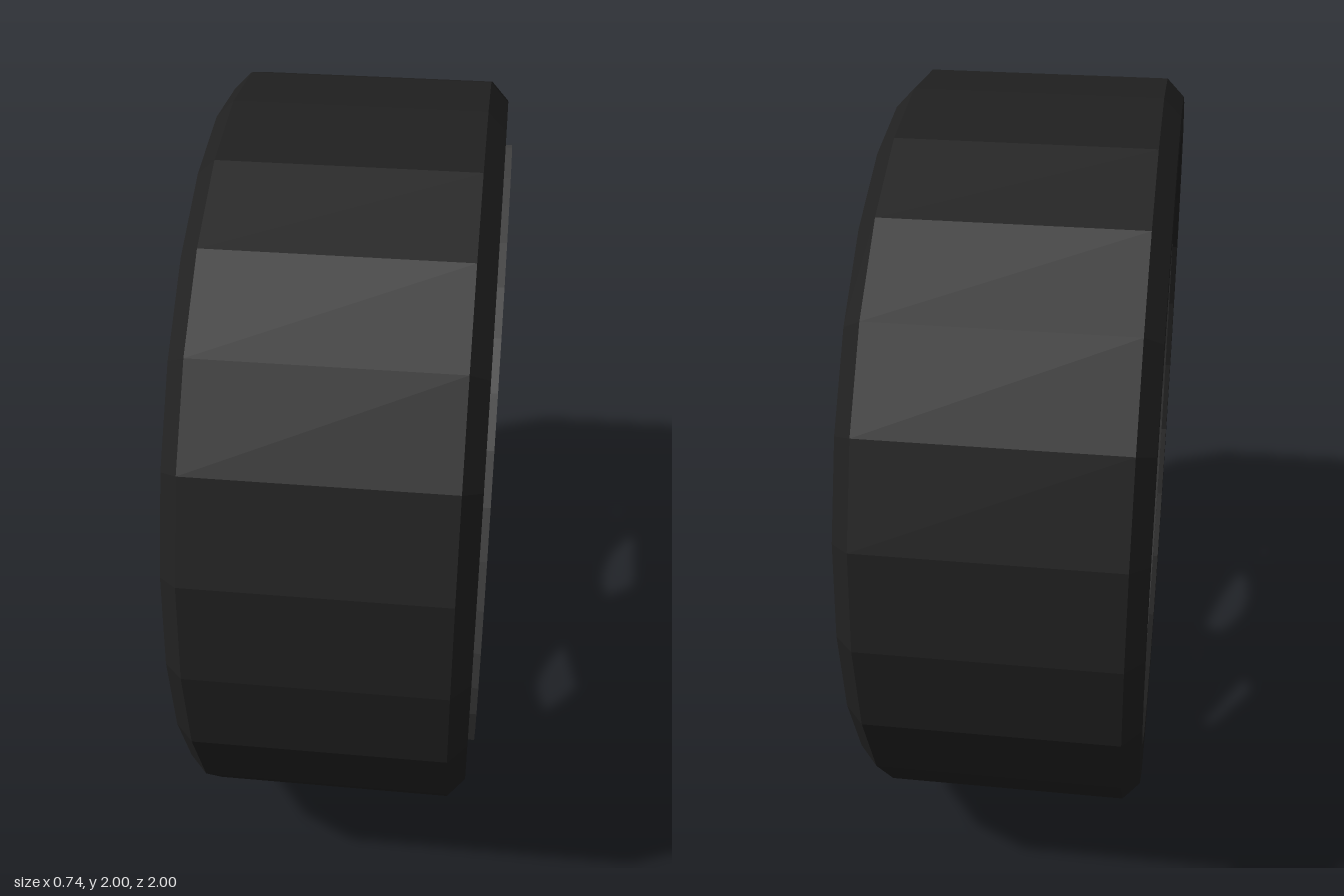
import * as THREE from 'three';

const tyreMat = new THREE.MeshStandardMaterial({ color: 0x202020, flatShading: true });
const rimMat = new THREE.MeshStandardMaterial({ color: 0x424242, flatShading: true });

function addMesh(parent, name, geometry, material) {
  const mesh = new THREE.Mesh(geometry, material);
  mesh.name = name;
  parent.add(mesh);
  return mesh;
}

// Profile of [radius, x] points turned around the x axis
function turned(profile, sides) {
  const pts = profile.map(([r, x]) => new THREE.Vector2(r, x));
  return new THREE.LatheGeometry(pts, sides).rotateZ(-Math.PI / 2);
}

// Half outlines of the openings as [sideways, radial], outer middle to inner middle,
// at the inboard face, the waist and the outboard face of the spokes
const bigWindow = [
  [[0, 0.632], [0.08, 0.627], [0.165, 0.612], [0.19, 0.42], [0.14, 0.33], [0.07, 0.285], [0, 0.27]],
  [[0, 0.572], [0.08, 0.566], [0.15, 0.552], [0.15, 0.385], [0.12, 0.34], [0.06, 0.324], [0, 0.32]],
  [[0, 0.66], [0.08, 0.655], [0.17, 0.638], [0.18, 0.42], [0.14, 0.335], [0.07, 0.3], [0, 0.29]],
];
const forkWindow = [
  [[0, 0.632], [0.08, 0.627], [0.155, 0.612], [0.05, 0.47], [0, 0.42]],
  [[0, 0.572], [0.045, 0.57], [0.085, 0.56], [0.05, 0.515], [0, 0.5]],
  [[0, 0.66], [0.08, 0.655], [0.155, 0.64], [0.05, 0.48], [0, 0.43]],
];
const layerDepth = [-0.12, -0.2, -0.28];

// Mirrors a half outline and turns it to an angle, anticlockwise
function outline(half, angle) {
  const mirrored = half.slice(1, -1).reverse().map(([t, r]) => [-t, r]);
  const c = Math.cos(angle), s = Math.sin(angle);
  return [...half, ...mirrored].map(([t, r]) => new THREE.Vector2(r * c - t * s, r * s + t * c));
}

// Flat disc with openings
function pierced(radius, holes, depth) {
  const shape = new THREE.Shape().absarc(0, 0, radius, 0, Math.PI * 2, false);
  shape.holes = holes.map((h) => new THREE.Path(h));
  return new THREE.ShapeGeometry(shape, 20).translate(0, 0, depth);
}

// Sloping walls between the outlines of two neighbouring layers
function walls(near, far, nearZ, farZ) {
  const pos = [];
  near.forEach((n, k) => {
    const f = far[k];
    for (let i = 0; i < n.length; i++) {
      const j = (i + 1) % n.length;
      pos.push(n[i].x, n[i].y, nearZ, n[j].x, n[j].y, nearZ, f[i].x, f[i].y, farZ);
      pos.push(n[j].x, n[j].y, nearZ, f[j].x, f[j].y, farZ, f[i].x, f[i].y, farZ);
    }
  });
  const geo = new THREE.BufferGeometry();
  geo.setAttribute('position', new THREE.Float32BufferAttribute(pos, 3));
  geo.computeVertexNormals();
  return geo;
}

function createSpokes() {
  const spokes = new THREE.Group();
  spokes.name = 'spokes';
  const layers = layerDepth.map((_, layer) => {
    const holes = [];
    for (let i = 0; i < 5; i++) {
      const angle = Math.PI / 2 + (i * Math.PI * 2) / 5;
      holes.push(outline(bigWindow[layer], angle), outline(forkWindow[layer], angle + Math.PI / 5));
    }
    return holes;
  });
  addMesh(spokes, 'spokeInboardFace', pierced(0.66, layers[0], layerDepth[0]), rimMat);
  const outboard = pierced(0.68, layers[2], layerDepth[2]);
  outboard.index.array.reverse();
  outboard.computeVertexNormals();
  addMesh(spokes, 'spokeOutboardFace', outboard, rimMat);
  for (let i = 0; i < 2; i++) {
    addMesh(spokes, 'spokeWalls', walls(layers[i], layers[i + 1], layerDepth[i], layerDepth[i + 1]), rimMat);
  }
  spokes.rotation.y = Math.PI / 2;
  return spokes;
}

export function createModel() {
  const wheel = new THREE.Group();
  wheel.name = 'wheel';

  // Tyre with chamfered shoulders
  const tyre = addMesh(wheel, 'tyre', turned([
    [0.8, -0.2], [0.845, -0.3], [0.855, -0.37], [0.955, -0.37], [1, -0.325], [1, 0.305],
    [0.95, 0.352], [0.855, 0.352], [0.845, 0.29], [0.8, 0.2], [0.8, -0.2],
  ], 24), tyreMat);
  tyre.position.y = 1;

  const rim = new THREE.Group();
  rim.name = 'rim';
  rim.position.set(0, 0.987, -0.004);
  wheel.add(rim);

  // Barrel with stepped lips, deep on the inboard side (+x)
  addMesh(rim, 'barrel', turned([
    [0.64, -0.12], [0.665, -0.278], [0.74, -0.305], [0.75, -0.33], [0.785, -0.335],
    [0.8, -0.355], [0.835, -0.355], [0.838, -0.22], [0.8, -0.16], [0.8, 0.16],
    [0.838, 0.22], [0.837, 0.37], [0.805, 0.37], [0.785, 0.35], [0.75, 0.345],
    [0.74, 0.325], [0.655, 0.31], [0.65, 0.125], [0.64, 0.115], [0.64, -0.12],
  ], 40), rimMat);

  rim.add(createSpokes());

  // Hub boss and cap outboard, low hub disc inboard
  addMesh(rim, 'hubBoss', turned([
    [0.14, -0.288], [0.17, -0.291], [0.235, -0.289], [0.25, -0.278],
  ], 30), rimMat);
  addMesh(rim, 'centreCap', turned([
    [0, -0.308], [0.08, -0.306], [0.13, -0.3], [0.145, -0.285],
  ], 30), rimMat);
  addMesh(rim, 'hubBack', turned([
    [0.18, -0.122], [0.142, -0.108], [0.138, -0.1], [0, -0.1],
  ], 30), rimMat);

  return wheel;
}
